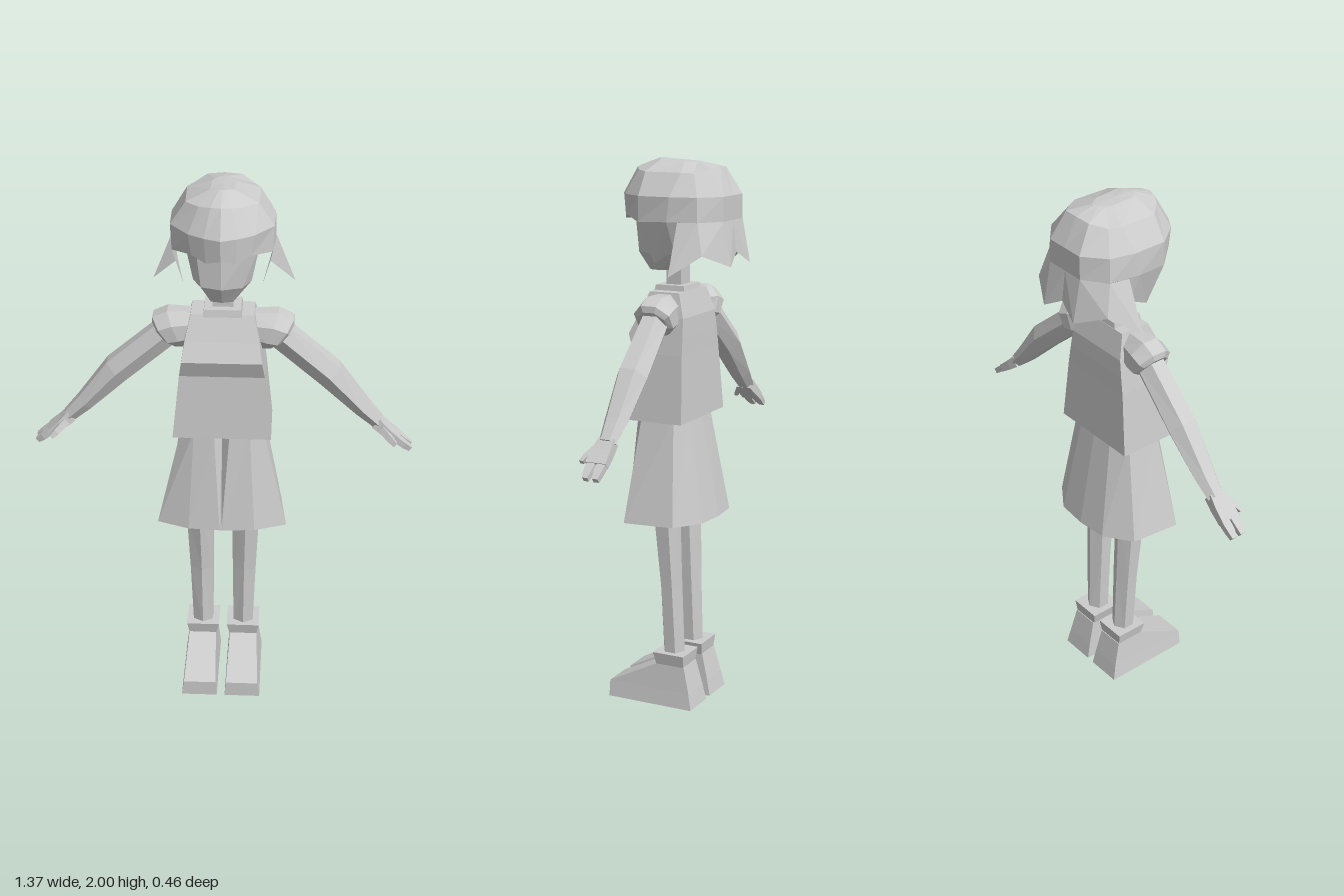
import * as THREE from 'three';

const grey = new THREE.MeshStandardMaterial({ color: 0xcccccc, side: THREE.DoubleSide });
grey.name = 'plain grey';

// Flat-shaded skin over a list of cross-sections (points [x, y, z])
function loft(rings, { open = false, caps = true } = {}) {
  const pos = [];
  const tri = (...pts) => pts.forEach(p => pos.push(...p));
  const n = rings[0].length;
  for (let r = 0; r < rings.length - 1; r++) {
    const a = rings[r], b = rings[r + 1];
    for (let i = 0; i < (open ? n - 1 : n); i++) {
      const j = (i + 1) % n;
      tri(a[i], a[j], b[j]);
      tri(a[i], b[j], b[i]);
    }
  }
  if (caps && !open) {
    const first = rings[0], last = rings[rings.length - 1];
    const mid = ring => [0, 1, 2].map(k => ring.reduce((s, p) => s + p[k], 0) / n);
    const c0 = mid(first), c1 = mid(last);
    for (let i = 0; i < n; i++) {
      const j = (i + 1) % n;
      tri(c0, first[j], first[i]);
      tri(c1, last[i], last[j]);
    }
  }
  const g = new THREE.BufferGeometry();
  g.setAttribute('position', new THREE.Float32BufferAttribute(pos, 3));
  g.computeVertexNormals();
  return g;
}

// Mirror a geometry across x = 0, keeping faces outward
function mirrored(geo) {
  const g = geo.clone();
  const p = g.attributes.position;
  for (let i = 0; i < p.count; i += 3) {
    const v = [0, 2, 1].map(k => [-p.getX(i + k), p.getY(i + k), p.getZ(i + k)]);
    v.forEach((q, k) => p.setXYZ(i + k, ...q));
  }
  g.computeVertexNormals();
  return g;
}

// Half outline from front to back, completed on the other side
const sym = half => [...half, ...half.slice(1, -1).reverse().map(([x, y, z]) => [-x, y, z])];
const level = (y, half) => sym(half.map(([x, z]) => [x, y, z]));

// Rectangular section
const rect = (y, x0, x1, zf, zb) => [[x0, y, zf], [x1, y, zf], [x1, y, zb], [x0, y, zb]];

// Limb along a path of [x, y, z, radius, zRadius, optional direction]
function limb(path, sides, turn = 0) {
  return loft(path.map(([x, y, z, rn, rz, dir], i) => {
    const p = path[Math.max(i - 1, 0)], q = path[Math.min(i + 1, path.length - 1)];
    const a = dir ?? Math.atan2(q[1] - p[1], q[0] - p[0]);
    return Array.from({ length: sides }, (_, k) => {
      const t = turn + k / sides * Math.PI * 2;
      const u = rn * Math.sin(t);
      return [x + Math.sin(a) * u, y - Math.cos(a) * u, z + rz * Math.cos(t)];
    });
  }));
}

export function createModel() {
  const model = new THREE.Group();
  const add = (name, geo) => {
    const m = new THREE.Mesh(geo, grey);
    m.name = name;
    model.add(m);
  };
  const pair = (name, geo) => {
    add(name + 'Left', geo);
    add(name + 'Right', mirrored(geo));
  };

  // Shoes with a flared ankle cuff
  pair('shoe', loft([
    rect(0, 0.015, 0.148, 0.23, -0.11),
    rect(0.06, 0.02, 0.14, 0.23, -0.097),
    rect(0.155, 0.027, 0.13, 0.04, -0.073),
  ]));
  pair('shoeCuff', loft([
    rect(0.155, 0.025, 0.13, 0.04, -0.07),
    rect(0.2, 0.015, 0.138, 0.05, -0.075),
  ]));

  // Legs
  pair('leg', limb([
    [0.077, 0.17, -0.01, 0.042, 0.042, Math.PI / 2],
    [0.08, 0.45, 0.0, 0.05, 0.043, Math.PI / 2],
    [0.086, 0.74, 0.017, 0.058, 0.055, Math.PI / 2],
  ], 6));

  // Skirt with a front pleat and a closed underside
  const hem = [[0, 0.165], [0.006, 0.165], [0.12, 0.158], [0.235, 0.115], [0.215, -0.07], [0.115, -0.14], [0, -0.15]];
  add('skirt', loft([
    level(0.69, hem.map(([x, z]) => [x * 0.6, z * 0.6])),
    level(0.713, hem),
    level(1.1, [[0, 0.1], [0.028, 0.128], [0.1, 0.122], [0.145, 0.085], [0.145, -0.04], [0.08, -0.074], [0, -0.08]]),
  ]));

  // Boxy top with a chest fold
  add('shirt', loft([
    [1.08, 0.175, 0.13, -0.085], [1.32, 0.15, 0.115, -0.075], [1.385, 0.14, 0.14, -0.073],
    [1.45, 0.13, 0.108, -0.07], [1.537, 0.11, 0.07, -0.045],
  ].map(([y, x, f, b]) => rect(y, -x, x, f, b))));
  add('collar', loft([rect(1.53, -0.068, 0.068, 0.075, -0.045), rect(1.556, -0.064, 0.064, 0.07, -0.04)]));
  add('neck', loft([rect(1.54, -0.036, 0.036, 0.042, -0.016), rect(1.66, -0.036, 0.036, 0.042, -0.016)]));

  // Puffed sleeves
  pair('sleeve', limb([
    [0.1, 1.47, 0.012, 0.065, 0.06, -0.05],
    [0.165, 1.463, 0.008, 0.08, 0.075, -0.4],
    [0.207, 1.45, 0.006, 0.074, 0.074, -0.61],
    [0.217, 1.443, 0.005, 0.055, 0.056, -0.65],
  ], 8, Math.PI / 8));

  // Arms, hands and fingers
  pair('arm', limb([
    [0.19, 1.45, 0.005, 0.055, 0.052],
    [0.38, 1.285, -0.002, 0.055, 0.058],
    [0.5, 1.15, -0.003, 0.036, 0.044],
    [0.56, 1.09, -0.003, 0.027, 0.033],
  ], 6));
  pair('hand', limb([
    [0.55, 1.095, -0.002, 0.03, 0.04],
    [0.585, 1.065, 0, 0.025, 0.05],
    [0.63, 1.03, 0, 0.02, 0.054],
  ], 4, Math.PI / 4));
  for (const z of [-0.021, 0.017])
    pair('finger', limb([
      [0.62, 1.037, z, 0.017, 0.023],
      [0.655, 1.01, z, 0.016, 0.021],
      [0.678, 0.992, z - 0.002, 0.013, 0.014],
    ], 4, Math.PI / 4));
  pair('thumb', limb([
    [0.565, 1.08, 0.022, 0.018, 0.018],
    [0.6, 1.05, 0.05, 0.016, 0.015],
    [0.62, 1.032, 0.062, 0.012, 0.01],
  ], 4, Math.PI / 4));

  // Head
  add('head', loft([
    level(1.605, [[0, 0.115], [0.038, 0.105], [0.05, 0.06], [0.03, 0.03], [0, 0.02]]),
    level(1.67, [[0, 0.155], [0.07, 0.133], [0.1, 0.07], [0.08, -0.03], [0, -0.06]]),
    level(1.8, [[0, 0.15], [0.085, 0.138], [0.125, 0.08], [0.12, -0.08], [0, -0.13]]),
    level(1.87, [[0, 0.14], [0.08, 0.12], [0.115, 0.07], [0.11, -0.08], [0, -0.12]]),
  ]));

  // Hair cap with a wavy fringe
  add('hairCap', loft([
    sym([[0, 1.8, 0.215], [0.05, 1.785, 0.195], [0.1, 1.803, 0.165], [0.17, 1.785, 0.085],
      [0.18, 1.79, -0.03], [0.162, 1.79, -0.14], [0.08, 1.79, -0.2], [0, 1.79, -0.2]]),
    level(1.875, [[0, 0.222], [0.055, 0.2], [0.11, 0.165], [0.175, 0.08], [0.177, -0.04], [0.155, -0.135], [0.078, -0.2], [0, -0.2]]),
    sym([[0, 1.967, 0.165], [0.035, 1.965, 0.155], [0.075, 1.958, 0.13], [0.122, 1.955, 0.08],
      [0.125, 1.955, -0.06], [0.105, 1.953, -0.1], [0.06, 1.968, -0.145], [0, 1.972, -0.15]]),
    sym([[0, 1.998, 0.08], [0.01, 1.998, 0.078], [0.025, 1.996, 0.07], [0.04, 1.993, 0.06],
      [0.04, 1.988, -0.03], [0.03, 1.988, -0.05], [0.015, 1.988, -0.07], [0, 1.988, -0.08]]),
  ]));

  // Hair locks hanging at the sides and back
  pair('hairLocks', loft([
    [[0.135, 1.64, 0.04], [0.16, 1.69, -0.05], [0.248, 1.61, -0.07], [0.187, 1.68, -0.17], [0.08, 1.635, -0.23], [0, 1.68, -0.213]],
    [[0.17, 1.785, 0.085], [0.18, 1.79, -0.03], [0.176, 1.79, -0.07], [0.162, 1.79, -0.14], [0.08, 1.79, -0.2], [0, 1.79, -0.2]],
  ], { open: true }));

  return model;
}
